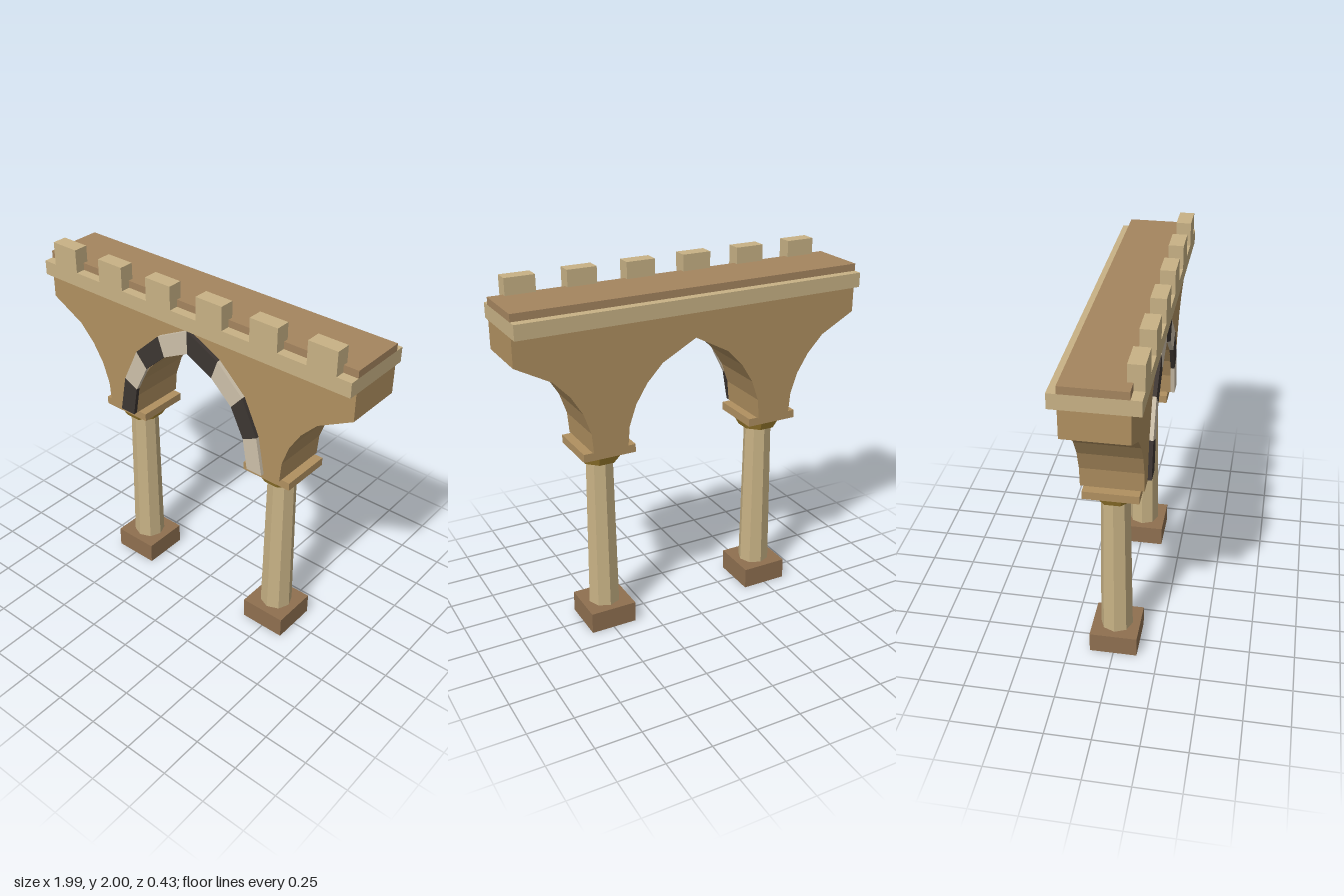
import * as THREE from 'three';

const mat = (color) => new THREE.MeshStandardMaterial({ color, flatShading: true });

export function createModel() {
  const model = new THREE.Group();
  const wallMat = mat(0xb09060), deckMat = mat(0xa5855f), trimMat = mat(0xc8b285);
  const baseMat = mat(0x8f7050), goldMat = mat(0xb08d35);
  const darkMat = mat(0x3d3632), lightMat = mat(0xcdc0aa);

  const add = (name, geometry, material, x, y, z, parent = model) => {
    const mesh = new THREE.Mesh(geometry, material);
    mesh.name = name;
    mesh.position.set(x, y, z);
    parent.add(mesh);
    return mesh;
  };
  const box = (name, w, y0, y1, z0, z1, material, x = 0, parent = model) =>
    add(name, new THREE.BoxGeometry(w, y1 - y0, z1 - z0), material, x, (y0 + y1) / 2, (z0 + z1) / 2, parent);
  const slab = (points, depth) => new THREE.ExtrudeGeometry(
    new THREE.Shape(points.map(([x, y]) => new THREE.Vector2(x, y))), { depth, bevelEnabled: false });
  const mirror = (points) => points.map(([x, y]) => [-x, y]).reverse();

  // Columns: plinth, eight-sided tapering shaft, flared capital and abacus
  for (const side of [-1, 1]) {
    const column = new THREE.Group();
    column.name = side > 0 ? 'leftColumn' : 'rightColumn';
    column.position.x = side * 0.497;
    model.add(column);
    box('plinth', 0.264, 0, 0.12, -0.132, 0.132, baseMat, 0, column);
    add('shaft', new THREE.CylinderGeometry(0.078, 0.09, 0.88, 8), trimMat, 0, 0.56, 0, column);
    const capital = new THREE.CylinderGeometry(0.143, 0.108, 0.06, 8).rotateY(Math.PI / 8);
    add('capital', capital, goldMat, 0, 1.03, 0, column);
    box('abacus', 0.295, 1.06, 1.105, -0.147, 0.147, wallMat, 0, column);
  }

  // Wall: a full pointed arch in the middle and a half arch at each end
  const curve = [[0, 1.64], [0.195, 1.535], [0.285, 1.44], [0.35, 1.335], [0.39, 1.22], [0.4, 1.105]];
  const endCurve = curve.map(([x, y]) => [0.994 - x, y]);
  const rightHalf = [...curve, ...endCurve.reverse(), [0.994, 1.79]];
  add('archedWall', slab([...rightHalf, ...mirror(rightHalf).slice(0, -1)], 0.33), wallMat, 0, 0, -0.165);

  // Arch stones in alternating colours on the front face
  const innerHalf = [[0, 1.64], [0.16, 1.56], [0.29, 1.44], [0.37, 1.28], [0.4, 1.105]];
  const outerHalf = [[0, 1.77], [0.2, 1.67], [0.36, 1.52], [0.455, 1.32], [0.495, 1.105]];
  const inner = [...mirror(innerHalf), ...innerHalf.slice(1)];
  const outer = [...mirror(outerHalf), ...outerHalf.slice(1)];
  for (let i = 0; i < 8; i++) {
    const stone = slab([inner[i], inner[i + 1], outer[i + 1], outer[i]], 0.022);
    add('archStone', stone, i % 2 ? lightMat : darkMat, 0, 0, 0.164);
  }

  // Cornice, walkway and battlements along the front edge
  box('cornice', 1.988, 1.79, 1.87, -0.213, 0.213, trimMat);
  box('walkway', 1.988, 1.87, 1.91, -0.165, 0.16, deckMat);
  for (let i = 0; i < 6; i++) {
    box('merlon', 0.164, 1.868, 2, 0.132, 0.213, trimMat, (i - 2.5) * 0.332);
  }
  return model;
}
